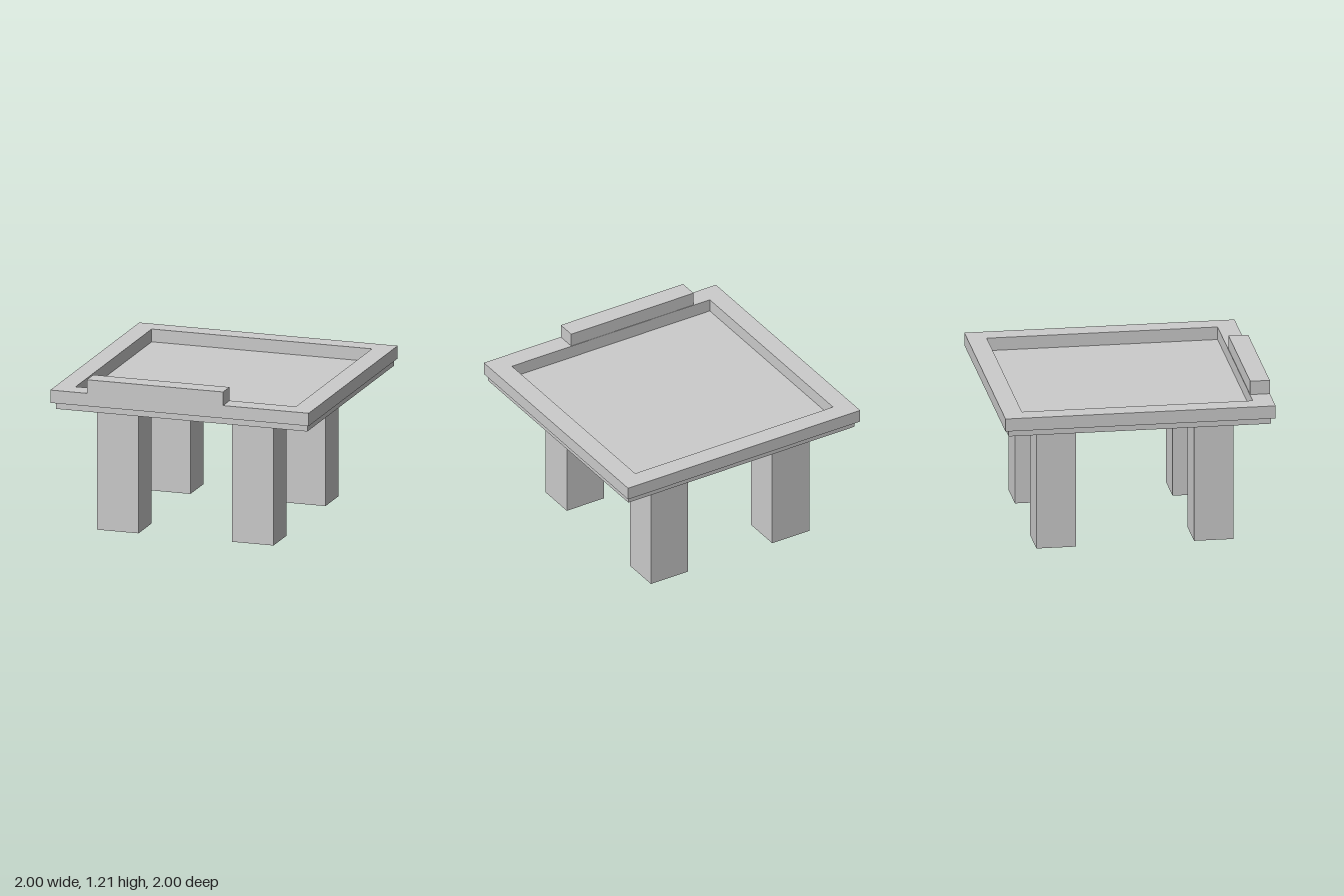
import * as THREE from 'three';

const material = new THREE.MeshStandardMaterial({ color: 0xcccccc, flatShading: true });

// Box given by its lower and upper limits on each axis
function block(name, [x0, x1], [y0, y1], [z0, z1]) {
  const mesh = new THREE.Mesh(new THREE.BoxGeometry(x1 - x0, y1 - y0, z1 - z0), material);
  mesh.position.set((x0 + x1) / 2, (y0 + y1) / 2, (z0 + z1) / 2);
  mesh.name = name;
  return mesh;
}

// Closed rectangle path in the plan
function rectangle(path, x0, x1, y0, y1) {
  path.moveTo(x0, y0);
  path.lineTo(x1, y0);
  path.lineTo(x1, y1);
  path.lineTo(x0, y1);
  path.closePath();
  return path;
}

export function createModel() {
  const table = new THREE.Group();
  table.name = 'table';

  // Four square legs
  const legSpans = { right: [-0.73, -0.41], left: [0.315, 0.635] };
  for (const [side, x] of Object.entries(legSpans)) {
    table.add(block(`${side}FrontLeg`, x, [0, 0.96], [0.437, 0.73]));
    table.add(block(`${side}BackLeg`, x, [0, 0.96], [-0.73, -0.437]));
  }

  // Thin table top, set slightly in from the rim
  table.add(block('tableTop', [-0.967, 0.98], [0.957, 1.007], [-0.972, 0.972]));

  // Raised rim around the top
  const outline = rectangle(new THREE.Shape(), -1, 1, -1, 1);
  outline.holes.push(rectangle(new THREE.Path(), -0.855, 0.85, -0.852, 0.857));
  const rimGeometry = new THREE.ExtrudeGeometry(outline, { depth: 0.097, bevelEnabled: false });
  rimGeometry.rotateX(-Math.PI / 2);
  const rim = new THREE.Mesh(rimGeometry, material);
  rim.position.y = 1.007;
  rim.name = 'rim';
  table.add(rim);

  // Extra bar lying on the front of the rim
  table.add(block('frontBar', [-0.717, 0.337], [1.104, 1.207], [0.855, 1]));

  return table;
}
